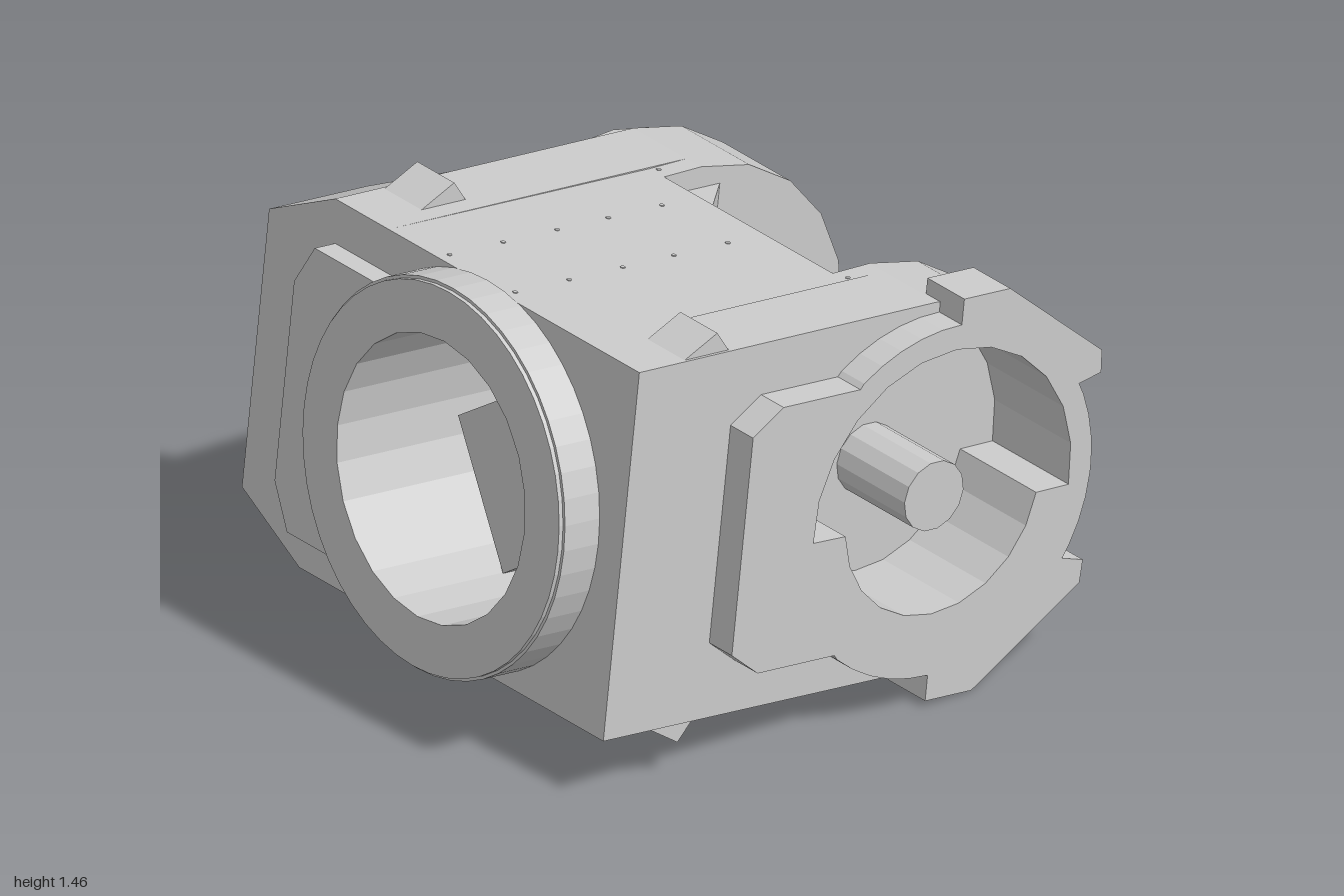
import * as THREE from 'three';

const mat = new THREE.MeshStandardMaterial({ color: 0xcccccc, flatShading: true });

// Points of a circular arc, angles in degrees
const arc = (r, a0, a1, n) => Array.from({ length: n + 1 }, (_, i) => {
  const a = THREE.MathUtils.degToRad(a0 + (a1 - a0) * i / n);
  return [r * Math.cos(a), r * Math.sin(a)];
});
const vecs = pts => pts.map(([x, y]) => new THREE.Vector2(x, y));
const shapeOf = (pts, hole) => {
  const s = new THREE.Shape(vecs(pts));
  if (hole) s.holes.push(new THREE.Path(vecs(hole)));
  return s;
};
const rect = (w, h) => [[-w, -h], [w, -h], [w, h], [-w, h]];
// Outline closed by its mirror image across the horizontal axis
const mirrored = half => [...half, ...half.map(([x, y]) => [x, -y]).reverse()];

export function createModel() {
  const model = new THREE.Group();
  const body = new THREE.Group(); // origin on the joint axis, leaning back
  body.name = 'jointBody';
  body.position.set(0.09, 0.685, -0.375);
  body.rotation.x = -0.115;
  model.add(body);

  const add = (name, geo) => {
    const m = new THREE.Mesh(geo, mat);
    m.name = name;
    body.add(m);
    return m;
  };
  // Profile (z, y) extruded across x0..x1
  const sidePrism = (name, shape, x0, x1) => {
    const g = new THREE.ExtrudeGeometry(shape, { depth: x1 - x0, bevelEnabled: false });
    return add(name, g.rotateY(-Math.PI / 2).translate(x1, 0, 0));
  };
  // Profile (x, y) extruded along z0..z1
  const frontPrism = (name, shape, z0, z1) => {
    const g = new THREE.ExtrudeGeometry(shape, { depth: z1 - z0, bevelEnabled: false });
    return add(name, g.translate(0, 0, z0));
  };
  // Same profile on both sides, given as positive x distances
  const pair = (name, shape, x0, x1) => {
    sidePrism(name + 'Left', shape, x0, x1);
    sidePrism(name + 'Right', shape, -x1, -x0);
  };

  // Core block: framed back wall, solid middle, round front cavity
  const frontHole = arc(0.455, 0, 345, 23);
  frontPrism('backWallFrame', shapeOf(rect(0.48, 0.61), rect(0.35, 0.46)), 0.145, 0.22);
  frontPrism('coreBlock', shapeOf(rect(0.48, 0.61)), 0.22, 0.5);
  frontPrism('frontCavity', shapeOf(rect(0.48, 0.61), frontHole), 0.5, 1.165);

  // Fork arms with stepped bores and pivot pins
  const round = arc(0.615, 90, 270, 10);
  const bore = [...arc(0.5, -5, 185, 12), ...arc(0.375, 187, 353, 10)];
  pair('sideWall', shapeOf([...round, [1.165, -0.61], [1.165, 0.61]], bore), 0.48, 0.74);
  pair('forkArm', shapeOf([...round, [0.145, -0.61], [0.145, 0.61]]), 0.41, 0.48);
  for (const s of [1, -1]) {
    const pin = new THREE.CylinderGeometry(0.115, 0.115, 0.33, 14);
    add('pivotPin', pin.rotateZ(Math.PI / 2).translate(s * 0.645, 0, 0));
  }

  // Plain collar on the -x arm, with a narrow neck and slim chamfer
  const collar = (r, x0, x1) => sidePrism('collar', shapeOf(arc(r, 0, 345, 23), bore), x0, x1);
  collar(0.55, -0.755, -0.74);
  collar(0.572, -0.835, -0.755);
  collar(0.557, -0.85, -0.835);

  // Mounting plate on the +x arm
  const plate = mirrored([[0.78, 0.36], [0.67, 0.44], [0.37, 0.44],
    ...arc(0.58, 52, 178, 16)]);
  sidePrism('mountingPlate', shapeOf(plate, bore), 0.74, 0.85);
  // Two thick lugs gripping the rim of the plate
  for (const s of [1, -1]) {
    const lug = [[-0.01, 0.665], [-0.19, 0.665], [-0.58, 0.385], [-0.585, 0.31], [-0.505, 0.29],
      ...arc(0.57, 150, 91, 8)].map(([z, y]) => [z, s * y]);
    sidePrism('plateLug', shapeOf(lug), 0.67, 0.85);
  }

  // Front plate and ring
  const backing = mirrored([[0, 0.47], [-0.72, 0.47], [-0.8, 0.33]]);
  const notch = [[0, 0.455], ...arc(0.455, 90, 270, 12), [0, -0.455]];
  const left = backing.slice(0, 6);
  frontPrism('frontPlate', shapeOf([...left, ...notch.slice(1, -1).reverse()]), 1.165, 1.245);
  const ring = (r, z0, z1) =>
    frontPrism('frontRing', shapeOf(arc(r, 0, 352.5, 47), frontHole), z0, z1);
  ring(0.628, 1.165, 1.3);
  ring(0.618, 1.3, 1.315);

  // Tilted block inside the ring
  const block = add('innerBlock', new THREE.BoxGeometry(0.66, 0.5, 0.4));
  block.rotation.z = 0.59;
  block.position.set(0.02, -0.05, 0.69);

  // Flared housing on the -x side, with a recess in its sloped back
  const section = (xi, xo, yi, yo, zOf) =>
    [[xi, yi], [xo, yo], [xo, -yo], [xi, -yi]].map(([x, y]) => [x, y, zOf(x)]);
  const slope = x => 0.68 - (x + 0.74) / 3;
  const loops = [
    section(-0.74, -1.04, 0.61, 0.46, () => 1.165),
    section(-0.74, -1.04, 0.61, 0.46, slope),
    section(-0.76, -1.0, 0.53, 0.41, slope),
    section(-0.76, -1.0, 0.53, 0.41, x => slope(x) + 0.12),
  ];
  const verts = [];
  const quad = (a, b, c, d) => verts.push(...a, ...b, ...c, ...a, ...c, ...d);
  quad(...loops[0]);
  for (let k = 0; k < 3; k++) for (let i = 0; i < 4; i++) {
    const j = (i + 1) % 4;
    quad(loops[k][i], loops[k + 1][i], loops[k + 1][j], loops[k][j]);
  }
  quad(...[...loops[3]].reverse());
  const flare = new THREE.BufferGeometry();
  flare.setAttribute('position', new THREE.Float32BufferAttribute(verts, 3));
  flare.computeVertexNormals();
  add('flaredHousing', flare);

  // Wedge stops and corner gussets, mirrored in x and y
  for (const sx of [1, -1]) for (const sy of [1, -1]) {
    const wedge = [[0.8, 0.6], [0.86, 0.677], [1.0, 0.6]].map(([z, y]) => [z, sy * y]);
    sidePrism('wedgeStop', shapeOf(wedge), sx > 0 ? 0.55 : -0.73, sx > 0 ? 0.73 : -0.55);

    const tri = shapeOf([[sx * 0.41, 0.145], [sx * 0.41, -0.08], [sx * 0.19, 0.145]]);
    const g = new THREE.ExtrudeGeometry(tri, { depth: 0.09, bevelEnabled: false });
    add('cornerGusset', g.rotateX(Math.PI / 2).translate(0, sy * 0.5 + 0.045, 0)).geometry
      .scale(1, 1, 1);
  }

  // Small rivets on the top face
  const rivets = [[-0.46, 0.126], [0.46, 0.126]];
  for (const z of [0.29, 0.5, 0.7, 0.91, 1.12]) rivets.push([-0.24, z], [0.08, z]);
  for (const [x, z] of rivets) {
    add('rivet', new THREE.CylinderGeometry(0.008, 0.008, 0.01, 8).translate(x, 0.608, z));
  }
  return model;
}
